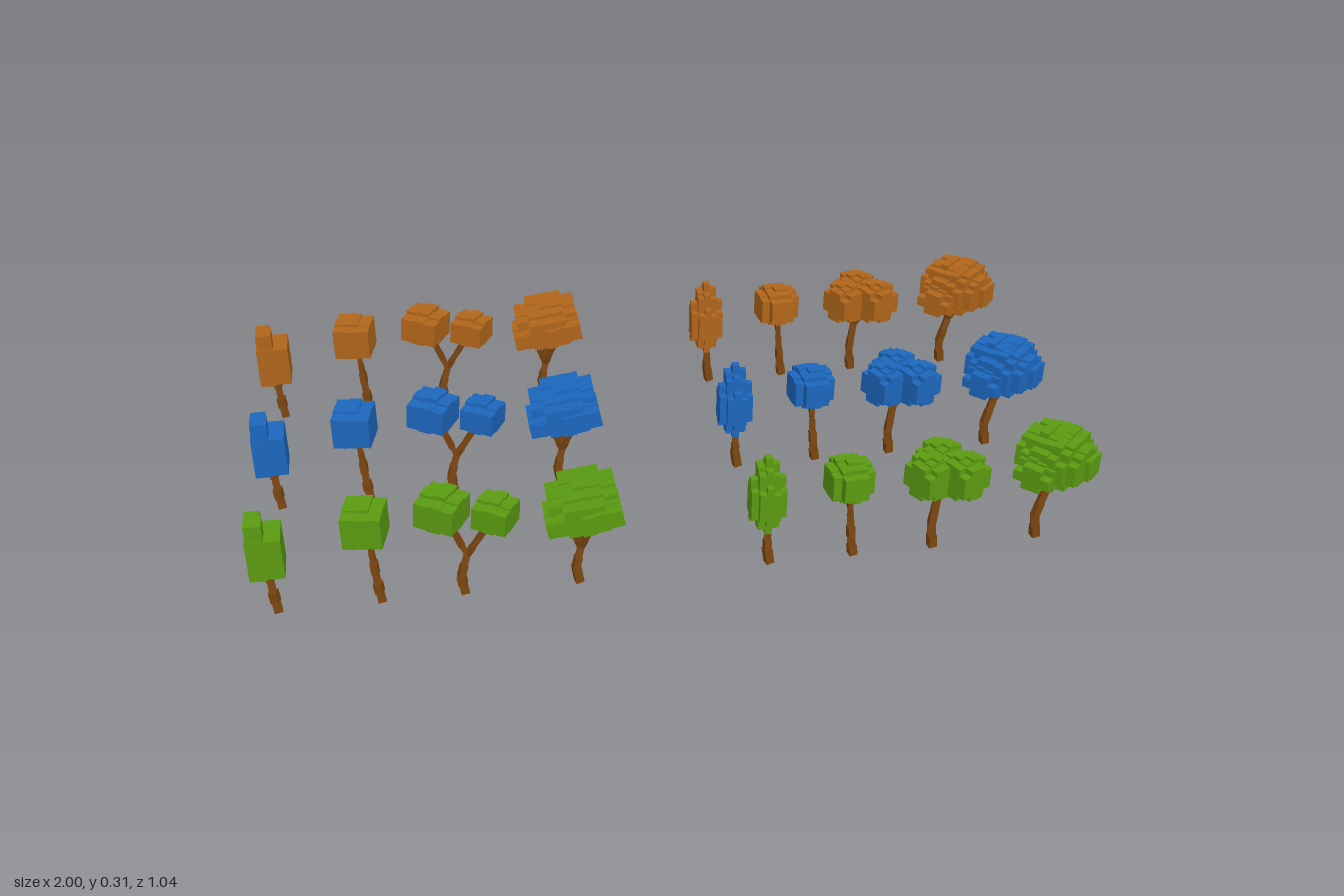
import * as THREE from 'three';
import { mergeGeometries } from 'three/addons/utils/BufferGeometryUtils.js';

// Repeatable noise in the range -1..1
const noise = (i, j) => {
  const s = Math.sin(i * 12.9898 + j * 78.233 + 1.7) * 43758.5453;
  return (s - Math.floor(s)) * 2 - 1;
};

const vec = (x, y, z) => new THREE.Vector3(x, y, z);

// Rounded clump of square columns; up and down are heights per radius, p sets how boxy it is
function clump([x, y, z, r], { up, down, cell = 0.021, p = 2.8, yaw = 0, roll = 0 }) {
  const columns = [];
  const n = Math.max(2, Math.round(2 * r / cell));
  const w = 2 * r / n;
  for (let i = 0; i < n; i++) {
    for (let j = 0; j < n; j++) {
      const u = (2 * i + 1) / n - 1, v = (2 * j + 1) / n - 1;
      const d = Math.abs(u) ** p + Math.abs(v) ** p;
      if (d >= 1.05) continue;
      const h = r * Math.max(0.25, Math.max(0, 1 - d) ** (1 / p));
      const top = up * h * (0.96 + 0.08 * noise(i, j));
      const bottom = down * h * (0.96 + 0.08 * noise(j + 9, i));
      columns.push(new THREE.BoxGeometry(w, top + bottom, w)
        .translate(u * r, (top - bottom) / 2, v * r));
    }
  }
  return mergeGeometries(columns).rotateY(yaw).rotateZ(roll).translate(x, y, z);
}

// Straight limb made of short, slightly twisted square blocks
function limb(from, to, width) {
  const dir = to.clone().sub(from);
  const n = Math.max(1, Math.round(dir.length() / 0.03));
  const turn = new THREE.Quaternion().setFromUnitVectors(vec(0, 1, 0), dir.clone().normalize());
  const blocks = [];
  for (let s = 0; s < n; s++) {
    const mid = from.clone().addScaledVector(dir, (s + 0.5) / n);
    blocks.push(new THREE.BoxGeometry(width, dir.length() / n + 0.003, width)
      .rotateY(noise(s, n) * 0.3).applyQuaternion(turn).translate(mid.x, mid.y, mid.z));
  }
  return mergeGeometries(blocks);
}

// Tree with its foot at x, a fork at forkY and one branch into each clump (x, y, z, radius)
function makeKind(name, x, forkY, clumps, look) {
  const meanX = clumps.reduce((sum, c) => sum + c[0], 0) / clumps.length;
  const foot = vec(x, 0.01, 0.005);
  const bend = vec(x - 0.006, forkY * 0.5, 0.004);
  const fork = vec((x + meanX) / 2, forkY, 0);
  const branches = clumps.map(([cx, cy, cz]) => limb(fork, vec(cx, cy, cz), 0.013));
  return {
    name,
    trunk: mergeGeometries([limb(foot, bend, 0.02), limb(bend, fork, 0.017), ...branches]),
    crown: mergeGeometries(clumps.map((c) => clump(c, look))),
  };
}

function makeKinds() {
  const column = makeKind('columnTree', -0.953, 0.13,
    [[-0.962, 0.182, 0, 0.04], [-0.979, 0.253, 0.018, 0.02], [-0.982, 0.245, -0.018, 0.018]],
    { up: 1.35, down: 1.35, cell: 0.04, p: 8 });

  const cube = makeKind('cubeTree', -0.715, 0.12, [[-0.735, 0.235, 0, 0.046]],
    { up: 1, down: 1.05, cell: 0.03, p: 4, yaw: -0.2 });

  const forked = makeKind('forkedTree', -0.522, 0.115,
    [[-0.56, 0.25, 0, 0.048], [-0.44, 0.236, 0.015, 0.042]],
    { up: 0.98, down: 0.85, cell: 0.03, p: 3, yaw: -0.5, roll: -0.08 });

  const spreading = makeKind('spreadingTree', -0.253, 0.105,
    [[-0.237, 0.238, 0, 0.08], [-0.285, 0.222, 0.03, 0.044],
      [-0.2, 0.24, 0.045, 0.046], [-0.235, 0.234, -0.038, 0.046]],
    { up: 0.65, down: 0.65, cell: 0.033, p: 3, roll: 0.17 });

  const cypress = makeKind('cypressTree', 0.205, 0.1, [[0.195, 0.187, 0, 0.042]],
    { up: 3, down: 2, cell: 0.017, p: 1.9 });

  const round = makeKind('roundTree', 0.41, 0.12, [[0.39, 0.231, 0, 0.052]],
    { up: 0.98, down: 0.98, p: 2.6, yaw: 0.15 });

  const triple = makeKind('tripleTree', 0.608, 0.15,
    [[0.617, 0.238, -0.022, 0.043], [0.575, 0.24, 0.03, 0.042], [0.655, 0.242, 0.042, 0.043]],
    { up: 1.25, down: 1.3, p: 3, yaw: 0.5 });

  const broad = makeKind('broadTree', 0.868, 0.14,
    [[0.893, 0.24, 0, 0.078], [0.902, 0.228, -0.06, 0.046],
      [0.842, 0.226, 0.038, 0.046], [0.94, 0.228, 0.01, 0.05]],
    { up: 0.98, down: 0.8, p: 2.6, yaw: 0.75 });

  return [column, cube, forked, spreading, cypress, round, triple, broad];
}

export function createModel() {
  const model = new THREE.Group();
  model.name = 'blockTreeSet';
  const bark = new THREE.MeshStandardMaterial({ color: 0x7a4510 });
  const rows = [
    { name: 'green', color: 0x5a9a10, z: 0.412, cubeShift: 0 },
    { name: 'blue', color: 0x1c66bc, z: 0.012, cubeShift: -0.018 },
    { name: 'orange', color: 0xb0651a, z: -0.398, cubeShift: -0.012 },
  ];
  const kinds = makeKinds();

  // One row of trees per leaf colour
  for (const row of rows) {
    const leaves = new THREE.MeshStandardMaterial({ color: row.color });
    const line = new THREE.Group();
    line.name = `${row.name}Row`;
    line.position.z = row.z;
    for (const kind of kinds) {
      const tree = new THREE.Group();
      tree.name = kind.name;
      if (kind.name === 'cubeTree') tree.position.x = row.cubeShift;
      const trunk = new THREE.Mesh(kind.trunk, bark);
      trunk.name = 'trunk';
      const crown = new THREE.Mesh(kind.crown, leaves);
      crown.name = 'crown';
      tree.add(trunk, crown);
      line.add(tree);
    }
    model.add(line);
  }
  return model;
}
